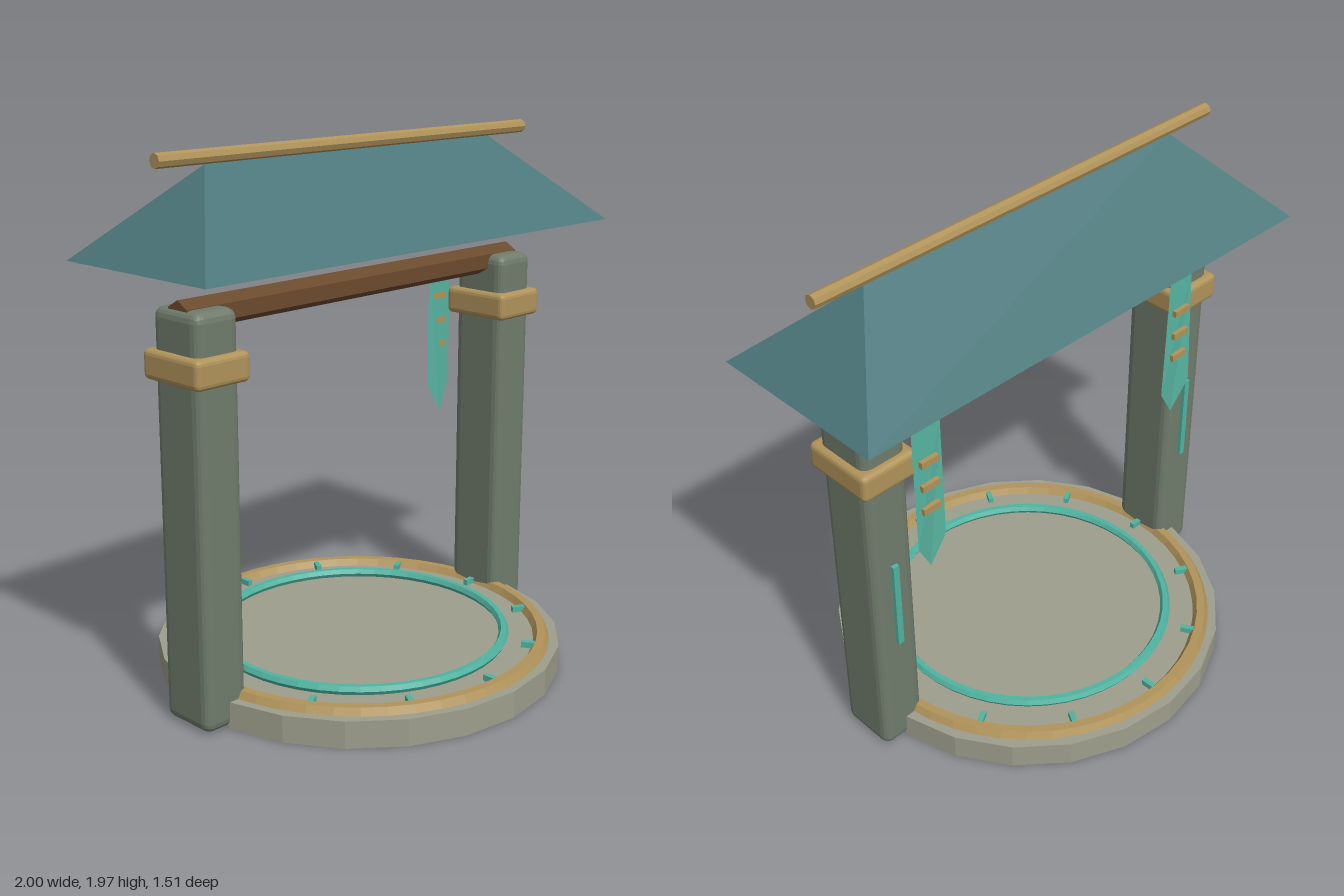
import * as THREE from 'three';
import { RoundedBoxGeometry } from 'three/addons/geometries/RoundedBoxGeometry.js';

const mat = (name, color, extra = {}) => {
  const m = new THREE.MeshStandardMaterial({ color, ...extra });
  m.name = name;
  return m;
};

// Faceted normals for the low-poly look
function flat(geometry) {
  const g = geometry.index ? geometry.toNonIndexed() : geometry;
  g.computeVertexNormals();
  return g;
}

export function createModel() {
  const model = new THREE.Group();
  model.name = 'shrineGate';
  const stone = mat('paleStone', 0x9d9e8c);
  const pillarStone = mat('greenStone', 0x6f7b6b);
  const gold = mat('gold', 0xb0935a);
  const wood = mat('darkWood', 0x6b4a2e);
  const glow = mat('turquoise', 0x50b3a0);
  const cloth = mat('clothTeal', 0x57b3a0, { side: THREE.DoubleSide });
  const roofTeal = mat('roofTeal', 0x4b767a, { side: THREE.DoubleSide });

  function add(name, geometry, material, x = 0, y = 0, z = 0) {
    const mesh = new THREE.Mesh(flat(geometry), material);
    mesh.name = name;
    mesh.position.set(x, y, z);
    model.add(mesh);
    return mesh;
  }

  // Round platform with two inlaid rings
  add('platform', new THREE.CylinderGeometry(0.757, 0.757, 0.1, 22), stone, 0, 0.05);
  const ring = (radius, tube) => new THREE.TorusGeometry(radius, tube, 6, 48).rotateX(-Math.PI / 2);
  add('outerRing', ring(0.69, 0.03), gold, 0, 0.1);
  add('innerRing', ring(0.549, 0.019), glow, 0, 0.115);

  // Twelve radial markers
  for (let i = 0; i < 12; i++) {
    const a = (i * Math.PI) / 6;
    const tick = add('marker', new THREE.BoxGeometry(0.02, 0.025, 0.06), glow,
      Math.sin(a) * 0.652, 0.11, Math.cos(a) * 0.652);
    tick.rotation.y = a;
  }

  // Hanging cloth with a pointed end and a slight backward bow
  function bannerGeometry(topHalf, lowHalf) {
    const s = new THREE.Shape();
    s.moveTo(-topHalf, 1.42);
    s.lineTo(-lowHalf, 0.93);
    s.lineTo(0, 0.81);
    s.lineTo(lowHalf, 0.93);
    s.lineTo(topHalf, 1.42);
    const g = new THREE.ShapeGeometry(s);
    const p = g.attributes.position;
    for (let i = 0; i < p.count; i++) {
      p.setZ(i, Math.abs(p.getY(i) - 0.93) < 0.01 ? -0.171 : p.getY(i) < 0.9 ? -0.158 : -0.165);
    }
    return g;
  }

  for (const side of [-1, 1]) {
    // Pillar, collar and glowing strip
    const x = side * 0.755;
    add('pillar', new RoundedBoxGeometry(0.182, 1.46, 0.23, 2, 0.035), pillarStone, x, 0.735);
    add('collar', new RoundedBoxGeometry(0.23, 0.104, 0.282, 2, 0.02), gold, x, 1.27);
    add('pillarStrip', new THREE.BoxGeometry(0.025, 0.365, 0.02), glow, x, 0.687, -0.12);

    // Banner with three gold bars on its back
    const bx = side * 0.625;
    add('banner', side < 0 ? bannerGeometry(0.058, 0.078) : bannerGeometry(0.062, 0.062), cloth, bx);
    for (const y of [1.283, 1.183, 1.085]) {
      add('bannerBar', new THREE.BoxGeometry(0.075, 0.025, 0.018), gold, bx, y, -0.175);
    }
  }

  // Six-sided crossbeam, one edge up
  const beam = new THREE.CylinderGeometry(0.054, 0.054, 1.655, 6).rotateZ(Math.PI / 2);
  beam.rotateX(Math.PI / 2);
  // Turn the hexagon so that a vertex points straight up
  beam.computeBoundingBox();
  if (beam.boundingBox.max.y < 0.05) beam.rotateX(Math.PI / 6);
  add('crossbeam', beam, wood, 0, 1.44);

  // Open hipped roof: eave corners and two ridge ends
  const e = [[-1, 1.6, 0.35], [1, 1.6, 0.35], [1, 1.6, -0.35], [-1, 1.6, -0.35]];
  const ridge = [[-0.7, 1.915, 0], [0.7, 1.915, 0]];
  const roof = new THREE.BufferGeometry();
  roof.setAttribute('position', new THREE.Float32BufferAttribute([...e, ...ridge].flat(), 3));
  roof.setIndex([0, 1, 5, 0, 5, 4, 1, 2, 5, 2, 3, 4, 2, 4, 5, 3, 0, 4]);
  add('roof', roof, roofTeal);

  // Ridge pole
  add('ridgePole', new THREE.CylinderGeometry(0.025, 0.025, 1.8, 8).rotateZ(Math.PI / 2), gold, 0, 1.94);

  return model;
}
